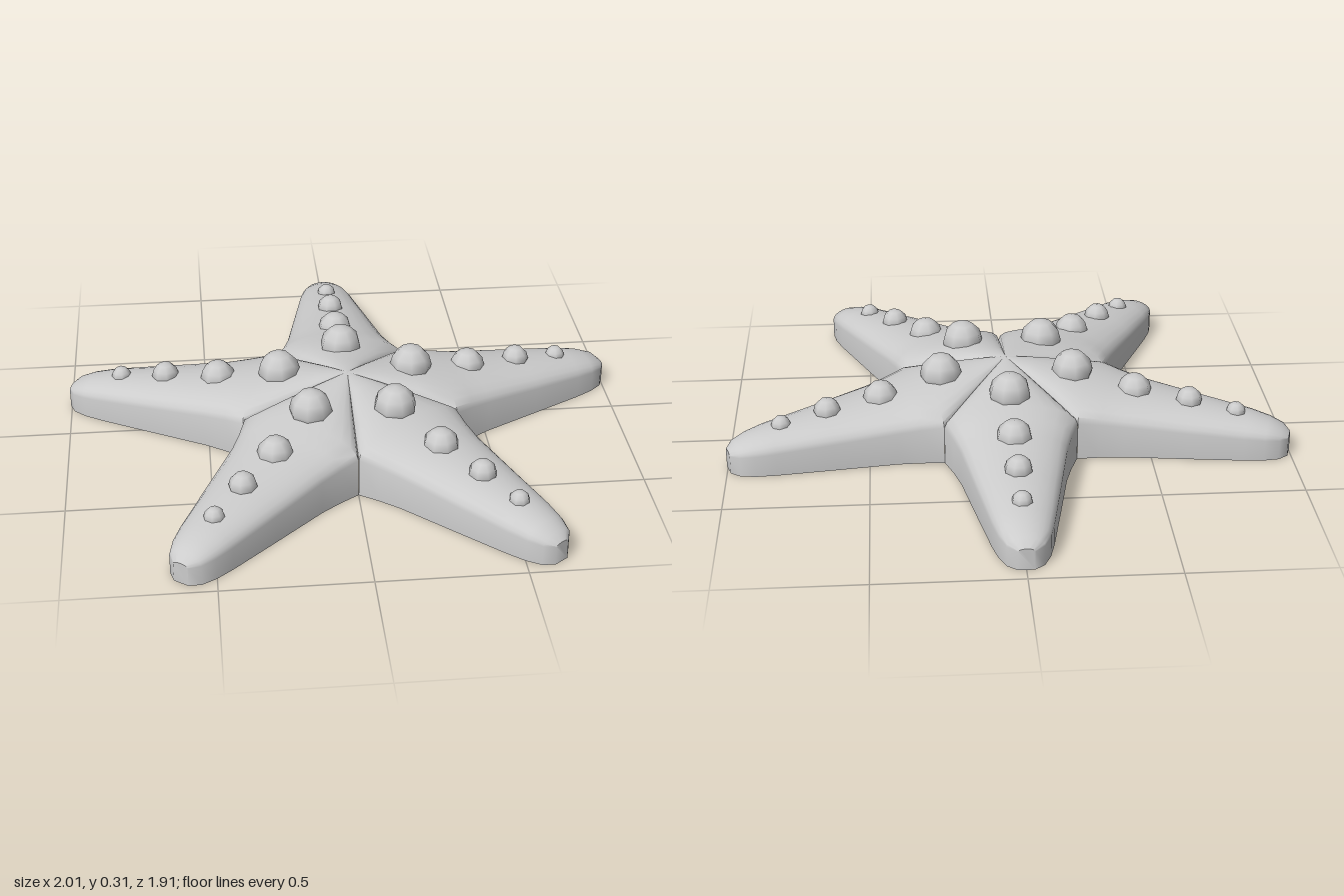
import * as THREE from 'three';
import { mergeGeometries, toCreasedNormals } from 'three/addons/utils/BufferGeometryUtils.js';

const CENTRE_Z = 0.1;
const ARMS = 5;
const DOME_STEPS = 12;

// Arm stations: distance from centre, half width, rim height, ridge height, groove half width
const STATIONS = [
  [0, 0, 0.26, 0.26, 0],
  [0.1, 0.0727, 0.225, 0.252, 0.004],
  [0.22, 0.16, 0.18, 0.237, 0.014],
  [0.324, 0.235, 0.14, 0.22, 0.019],
  [0.4, 0.207, 0.13, 0.205, 0.021],
  [0.48, 0.184, 0.12, 0.19, 0.022],
  [0.7, 0.142, 0.1, 0.163, 0.023],
  [0.9, 0.103, 0.083, 0.138, 0.02],
  [0.97, 0.085, 0.077, 0.122, 0.012],
  [1.02, 0.062, 0.072, 0.103, 0],
  [1.047, 0.028, 0.068, 0.078, 0],
];
const VALLEY = 3; // station where neighbouring arms part

// Cross-section: side wall, domed top, side wall, flat underside with a V groove
function section([s, w, rim, ridge, g]) {
  const pts = [new THREE.Vector3(w, 0, s)];
  for (let i = 0; i <= DOME_STEPS; i++) {
    const a = (i / DOME_STEPS) * Math.PI;
    pts.push(new THREE.Vector3(w * Math.cos(a), rim + (ridge - rim) * Math.sin(a), s));
  }
  pts.push(
    new THREE.Vector3(-w, 0, s),
    new THREE.Vector3(-g, 0, s),
    new THREE.Vector3(0, g * 1.4, s),
    new THREE.Vector3(g, 0, s),
  );
  return pts;
}

function armGeometry() {
  const rings = STATIONS.map(section);
  const n = rings[0].length;
  const out = [];
  const tri = (a, b, c) => {
    if (new THREE.Triangle(a, b, c).getArea() > 1e-7) {
      for (const p of [a, b, c]) out.push(p.x, p.y, p.z);
    }
  };
  for (let j = 0; j < rings.length - 1; j++) {
    for (let i = 0; i < n; i++) {
      // no side wall where arms join in the disc
      if (j < VALLEY && (i === 0 || i === DOME_STEPS + 1)) continue;
      const k = (i + 1) % n;
      tri(rings[j][i], rings[j][k], rings[j + 1][k]);
      tri(rings[j][i], rings[j + 1][k], rings[j + 1][i]);
    }
  }
  // blunt tip
  const tip = rings[rings.length - 1];
  for (let i = 1; i < DOME_STEPS + 2; i++) tri(tip[0], tip[i], tip[i + 1]);
  const geo = new THREE.BufferGeometry();
  geo.setAttribute('position', new THREE.Float32BufferAttribute(out, 3));
  return geo;
}

export function createModel() {
  const group = new THREE.Group();
  group.name = 'starfish';
  const material = new THREE.MeshStandardMaterial({ color: 0xcccccc });
  const angles = Array.from({ length: ARMS }, (_, k) => Math.PI + (k * 2 * Math.PI) / ARMS);

  // Five-armed body
  const arm = armGeometry();
  const merged = mergeGeometries(angles.map((a) => arm.clone().rotateY(a)));
  const body = new THREE.Mesh(toCreasedNormals(merged, 0.7), material);
  body.name = 'body';
  body.position.z = CENTRE_Z;
  group.add(body);

  // Row of knobs down each arm: distance, height, radius
  const knobs = [
    [0.25, 0.235, 0.076],
    [0.48, 0.18, 0.064],
    [0.68, 0.165, 0.049],
    [0.85, 0.14, 0.036],
  ];
  for (const angle of angles) {
    const row = new THREE.Group();
    row.name = 'knobRow';
    row.position.z = CENTRE_Z;
    row.rotation.y = angle;
    for (const [s, y, r] of knobs) {
      const knob = new THREE.Mesh(new THREE.SphereGeometry(r, 8, 6), material);
      knob.name = 'knob';
      knob.position.set(0, y, s);
      knob.rotation.y = Math.PI / 8;
      row.add(knob);
    }
    group.add(row);
  }
  return group;
}
